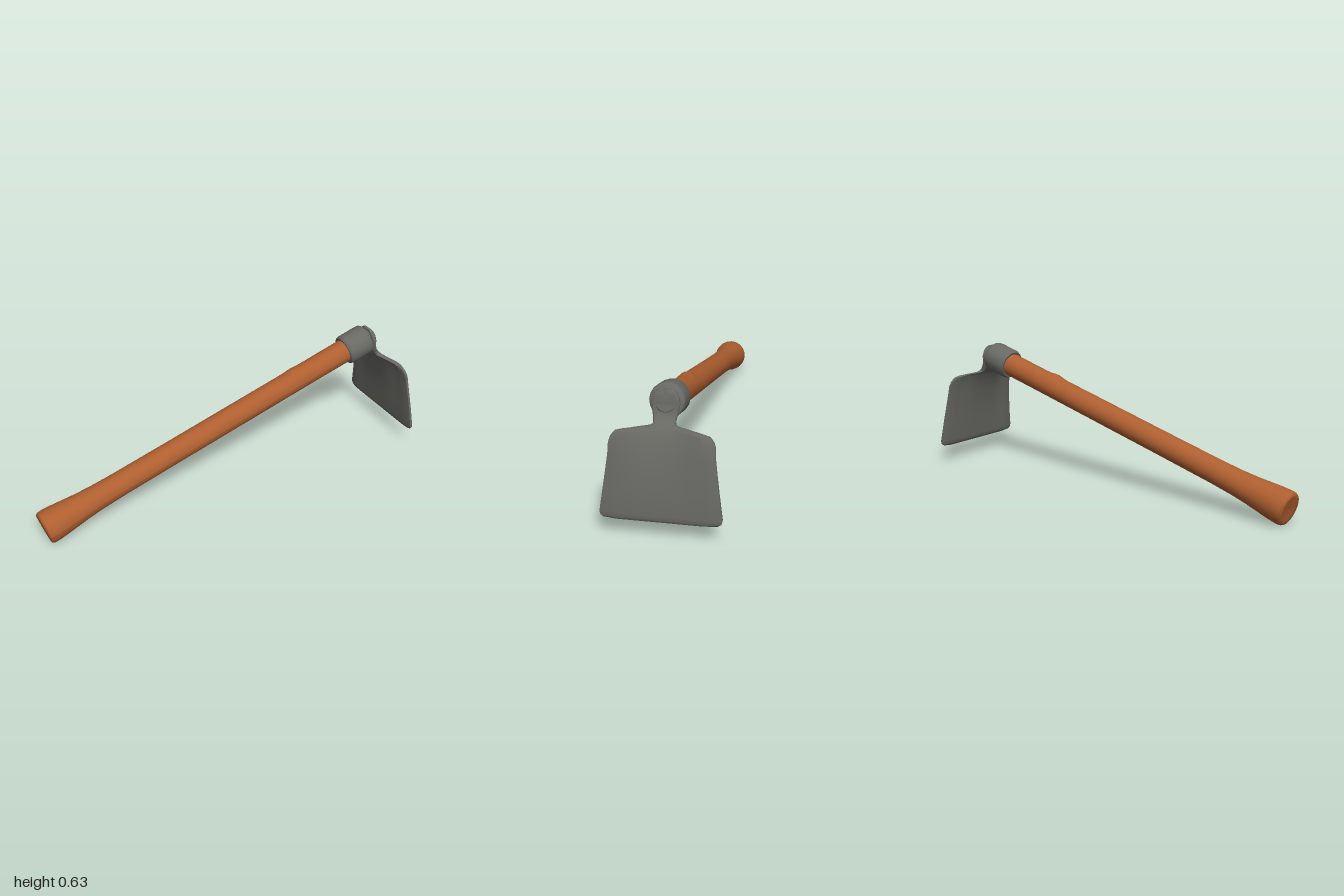
import * as THREE from 'three';
import { toCreasedNormals } from 'three/addons/utils/BufferGeometryUtils.js';

const TILT = Math.atan(0.27); // slope of the shaft

// Lathe from [radius, distance along the shaft] pairs
function lathe(pairs, sides) {
  return new THREE.LatheGeometry(pairs.map(([r, t]) => new THREE.Vector2(r, t)), sides);
}

// Wooden shaft: flared butt, straight grip, small knot on the upper side
function handleGeometry() {
  const pairs = [
    [0, 0.006], [0.06, 0.002], [0.074, 0.001], [0.081, 0.012], [0.082, 0.035], [0.079, 0.08],
    [0.073, 0.14], [0.067, 0.2], [0.062, 0.28], [0.059, 0.4], [0.058, 0.7], [0.058, 1.0],
  ];
  for (let t = 1.3; t < 1.56; t += 0.02) pairs.push([0.058, t]);
  pairs.push([0.059, 1.78]);
  const geo = lathe(pairs, 24);
  const p = geo.attributes.position;
  for (let i = 0; i < p.count; i++) {
    const x = p.getX(i), t = p.getY(i);
    const side = Math.max(0, -x / 0.058);
    if (t > 1.3 && t < 1.56) {
      const d = (t - 1.42) / (t < 1.42 ? 0.025 : 0.05);
      p.setX(i, x * (1 + 0.18 * side ** 3 * Math.exp(-d * d)));
    }
  }
  geo.computeVertexNormals();
  return geo;
}

// Blade cross-sections from the head down: y, half width, centre x, side dish, thickness
const ROWS = [
  [0.625, 0.024, 0.848, 0, 0.014], [0.617, 0.04, 0.853, 0, 0.02],
  [0.6, 0.053, 0.858, 0, 0.024], [0.57, 0.06, 0.862, 0, 0.024],
  [0.54, 0.056, 0.865, 0, 0.026], [0.515, 0.05, 0.876, 0, 0.03],
  [0.495, 0.046, 0.891, 0, 0.03], [0.485, 0.049, 0.899, 0.02, 0.029],
  [0.479, 0.065, 0.903, 0.028, 0.028], [0.475, 0.12, 0.906, 0.029, 0.027],
  [0.471, 0.17, 0.909, 0.029, 0.026], [0.464, 0.197, 0.913, 0.028, 0.026],
  [0.445, 0.214, 0.922, 0.025, 0.025], [0.42, 0.222, 0.933, 0.021, 0.025],
  [0.37, 0.224, 0.95, 0.014, 0.025], [0.3, 0.233, 0.966, 0.008, 0.024],
  [0.22, 0.244, 0.982, 0.003, 0.024], [0.12, 0.258, 0.996, 0, 0.026],
  [0.104, 0.254, 0.996, 0, 0.023], [0.095, 0.24, 0.994, 0, 0.017],
  [0.09, 0.2, 0.991, 0, 0.01],
];

// Lofted blade: each ring runs across the outer face and back along the inner face
function bladeGeometry() {
  const n = 16, ring = 2 * (n + 1), pos = [], idx = [];
  ROWS.forEach(([y, w, x, dish, th], r) => {
    for (let k = 0; k < ring; k++) {
      const inner = k > n, j = inner ? ring - 1 - k : k;
      const z = w * (1 - 2 * j / n);
      const edge = j === 0 || j === n ? th * 0.25 : 0;
      const front = x + dish * THREE.MathUtils.smoothstep(Math.abs(z), 0.03, 0.18);
      const notch = r < 2 && j === n / 2 ? 0.012 : 0; // cleft at the top of the head
      pos.push(inner ? front - th + edge : front - edge, y - notch, z);
    }
  });
  for (let r = 0; r < ROWS.length - 1; r++) {
    for (let k = 0; k < ring; k++) {
      const a = r * ring + k, b = r * ring + (k + 1) % ring;
      idx.push(a, a + ring, b, b, a + ring, b + ring);
    }
  }
  // End caps
  const last = (ROWS.length - 1) * ring;
  for (let j = 0; j < n; j++) {
    const f = j, g = j + 1, bf = ring - 1 - j, bg = ring - 2 - j;
    idx.push(f, g, bf, g, bg, bf);
    idx.push(last + f, last + bf, last + g, last + g, last + bf, last + bg);
  }
  const geo = new THREE.BufferGeometry();
  geo.setAttribute('position', new THREE.Float32BufferAttribute(pos, 3));
  geo.setIndex(idx);
  return toCreasedNormals(geo, 0.75);
}

export function createModel() {
  const wood = new THREE.MeshStandardMaterial({ color: 0xae5f30 });
  wood.name = 'wood';
  const metal = new THREE.MeshStandardMaterial({ color: 0x696a64 });
  metal.name = 'metal';

  const model = new THREE.Group();
  model.name = 'hoe';
  const add = (parent, name, geometry, material) => {
    const mesh = new THREE.Mesh(geometry, material);
    mesh.name = name;
    parent.add(mesh);
  };

  // Everything turned about the shaft axis
  const shaft = new THREE.Group();
  shaft.name = 'shaft';
  shaft.position.set(-0.975, 0.081, 0);
  shaft.rotation.z = TILT - Math.PI / 2;
  model.add(shaft);

  add(shaft, 'handle', handleGeometry(), wood);

  // Socket sleeve around the shaft end
  add(shaft, 'collar', toCreasedNormals(lathe([
    [0.055, 1.735], [0.069, 1.733], [0.074, 1.738], [0.077, 1.75],
    [0.077, 1.855], [0.074, 1.866], [0.069, 1.87], [0, 1.87],
  ], 18), 0.7), metal);

  // Short neck joining the collar to the blade head
  add(shaft, 'neck', toCreasedNormals(lathe([
    [0.05, 1.86], [0.046, 1.88], [0.048, 1.895], [0.042, 1.9], [0, 1.9],
  ], 18), 0.7), metal);

  add(model, 'blade', bladeGeometry(), metal);
  return model;
}
